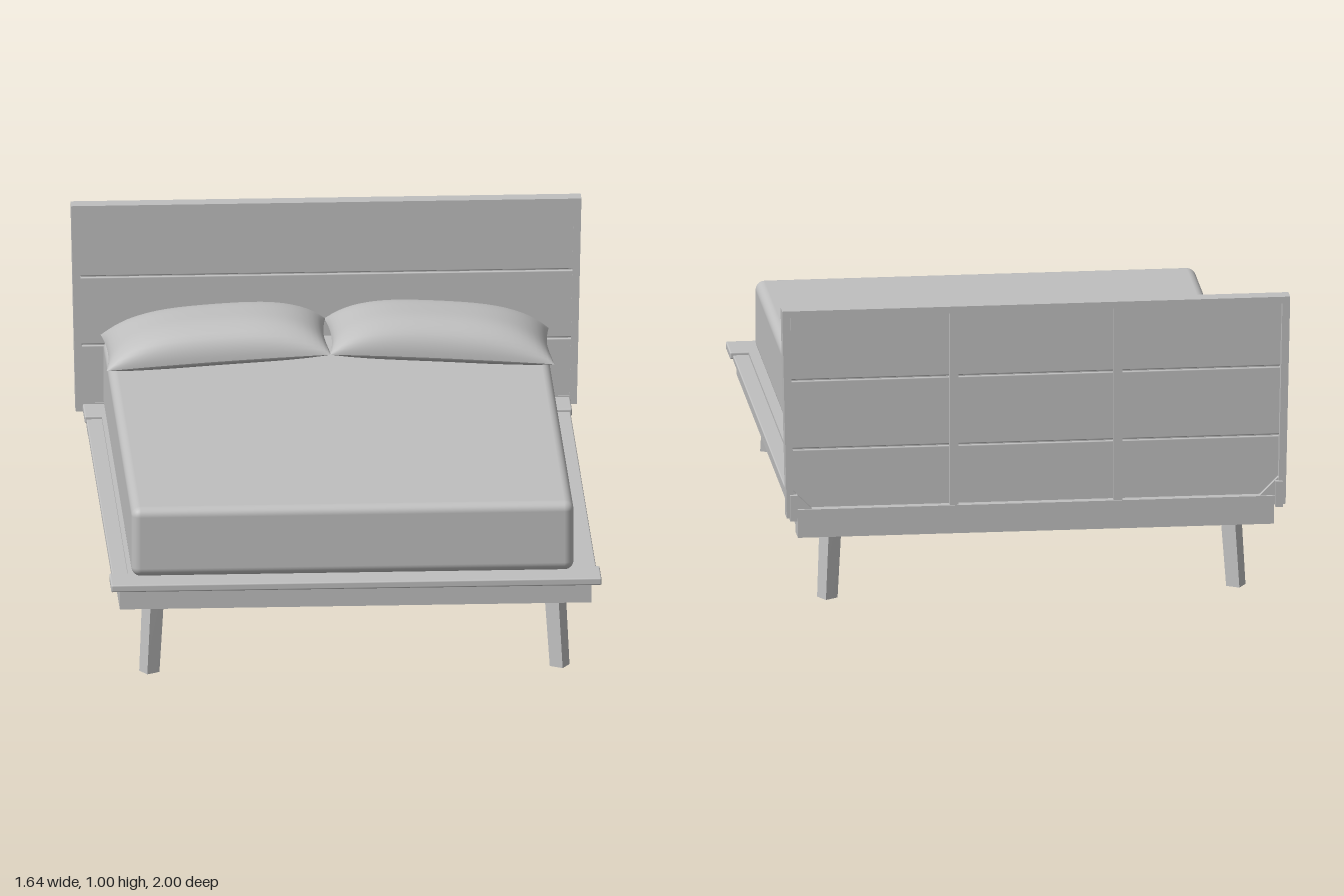
import * as THREE from 'three';
import { RoundedBoxGeometry } from 'three/addons/geometries/RoundedBoxGeometry.js';

const grey = new THREE.MeshStandardMaterial({ color: 0xbfbfbf });
grey.name = 'plain grey';

export function createModel() {
  const model = new THREE.Group();
  model.name = 'bed';

  const add = (name, geometry, parent = model) => {
    const mesh = new THREE.Mesh(geometry, grey);
    mesh.name = name;
    parent.add(mesh);
    return mesh;
  };
  // Box given by its limits, with an optional rounded edge
  const block = (name, [x0, x1], [y0, y1], [z0, z1], radius = 0, parent = model) => {
    const size = [x1 - x0, y1 - y0, z1 - z0];
    const geometry = radius
      ? new RoundedBoxGeometry(...size, 4, radius)
      : new THREE.BoxGeometry(...size);
    geometry.translate((x0 + x1) / 2, (y0 + y1) / 2, (z0 + z1) / 2);
    return add(name, geometry, parent);
  };
  const polygon = (points) => new THREE.Shape(points.map(([x, y]) => new THREE.Vector2(x, y)));
  const plate = (name, shape, z0, z1, parent) => {
    const geometry = new THREE.ExtrudeGeometry(shape, { depth: z1 - z0, bevelEnabled: false });
    geometry.translate(0, 0, z0);
    return add(name, geometry, parent);
  };

  // Mattress
  block('mattress', [-0.72, 0.705], [0.33, 0.562], [-0.925, 0.918], 0.03);

  // Platform planks around the mattress
  block('frontPlank', [-0.79, 0.79], [0.308, 0.332], [0.868, 1], 0.005);
  block('backPlank', [-0.785, 0.785], [0.308, 0.332], [-0.94, -0.805], 0.005);
  for (const s of [-1, 1]) {
    block('sidePlank', [s * 0.735 - 0.045, s * 0.735 + 0.045], [0.302, 0.322], [-0.82, 0.88], 0.004);
    block('sideRail', [s * 0.743 - 0.017, s * 0.743 + 0.017], [0.235, 0.31], [-0.91, 0.95]);
  }
  block('mattressBase', [-0.73, 0.73], [0.245, 0.332], [-0.91, 0.92]);
  block('frontRail', [-0.76, 0.76], [0.235, 0.31], [0.915, 0.95]);
  block('backRail', [-0.77, 0.77], [0.238, 0.31], [-0.978, -0.91]);

  // Splayed legs, turned toward the outer corners
  for (const sx of [-1, 1]) {
    for (const sz of [-1, 1]) {
      const leg = new THREE.BoxGeometry(0.051, 0.25, 0.051);
      leg.rotateY(-sx * sz * 0.54);
      const p = leg.attributes.position;
      for (let i = 0; i < p.count; i++) {
        const low = p.getY(i) < 0 ? 1 : 0;
        p.setXYZ(
          i,
          p.getX(i) * (1 - 0.08 * low) + sx * (0.647 + 0.014 * low),
          low ? 0 : 0.25,
          p.getZ(i) * (1 - 0.04 * low) + sz * (sz > 0 ? 0.842 + 0.029 * low : 0.82 + 0.03 * low),
        );
      }
      leg.computeVertexNormals();
      add('leg', leg);
    }
  }

  // Headboard frame, a little narrower at the foot
  const headboard = new THREE.Group();
  headboard.name = 'headboard';
  model.add(headboard);
  const frame = polygon([[-0.807, 0.307], [0.807, 0.307], [0.822, 1], [-0.822, 1]]);
  frame.holes.push(new THREE.Path(
    [[-0.784, 0.335], [-0.797, 0.978], [0.797, 0.978], [0.784, 0.335]]
      .map(([x, y]) => new THREE.Vector2(x, y)),
  ));
  plate('headboardFrame', frame, -0.99, -0.937, headboard);

  // Three horizontal boards with fine gaps backed by a thin panel
  const seams = [0.315, 0.53, 0.76, 0.985];
  for (let i = 0; i < 3; i++) {
    block('headboardBoard', [-0.8, 0.8], [seams[i] + 0.002, seams[i + 1] - 0.002], [-0.962, -0.939], 0.004, headboard);
  }
  block('backingPanel', [-0.79, 0.79], [0.32, 0.98], [-0.957, -0.946], 0, headboard);

  // Rear battens, corner gussets and mounting brackets
  for (const s of [-1, 1]) {
    block('rearBatten', [s * 0.265 - 0.014, s * 0.265 + 0.014], [0.325, 0.985], [-0.985, -0.955], 0, headboard);
    for (const [y, dir] of [[0.33, 1], [0.982, -1]]) {
      const x = s * 0.795;
      plate('cornerGusset', polygon([[x, y], [x - s * 0.075, y], [x, y + dir * 0.075]]), -0.982, -0.957, headboard);
    }
    block('mountingBracket', [s * 0.785 - 0.012, s * 0.785 + 0.012], [0.3, 0.385], [-1, -0.975], 0, headboard);
  }

  // Pillows: domed top and shallow underside meeting at a seam with pointed corners
  const pillowHalf = (side, up) => {
    const geometry = new THREE.PlaneGeometry(2, 2, 28, 24);
    geometry.rotateX(up > 0 ? -Math.PI / 2 : Math.PI / 2);
    const p = geometry.attributes.position;
    for (let i = 0; i < p.count; i++) {
      const u = Math.sin(p.getX(i) * Math.PI / 2);
      const v = Math.sin(p.getZ(i) * Math.PI / 2);
      const dome = Math.pow(Math.max(0, (1 - u ** 4) * (1 - v ** 4)), 0.55);
      const bend = -side * u * 0.022;
      p.setXYZ(
        i,
        u * (0.362 - 0.014 * (1 - v * v)),
        bend + dome * (up > 0 ? 0.112 - 0.02 * u * u : -0.03),
        v * (0.195 - 0.014 * (1 - u * u)),
      );
    }
    geometry.computeVertexNormals();
    return geometry;
  };
  for (const side of [-1, 1]) {
    const pillow = new THREE.Group();
    pillow.name = side > 0 ? 'leftPillow' : 'rightPillow';
    pillow.position.set(side * 0.36 - 0.006, 0.59, -0.733);
    add('pillowTop', pillowHalf(side, 1), pillow);
    add('pillowUnderside', pillowHalf(side, -1), pillow);
    model.add(pillow);
  }

  return model;
}
